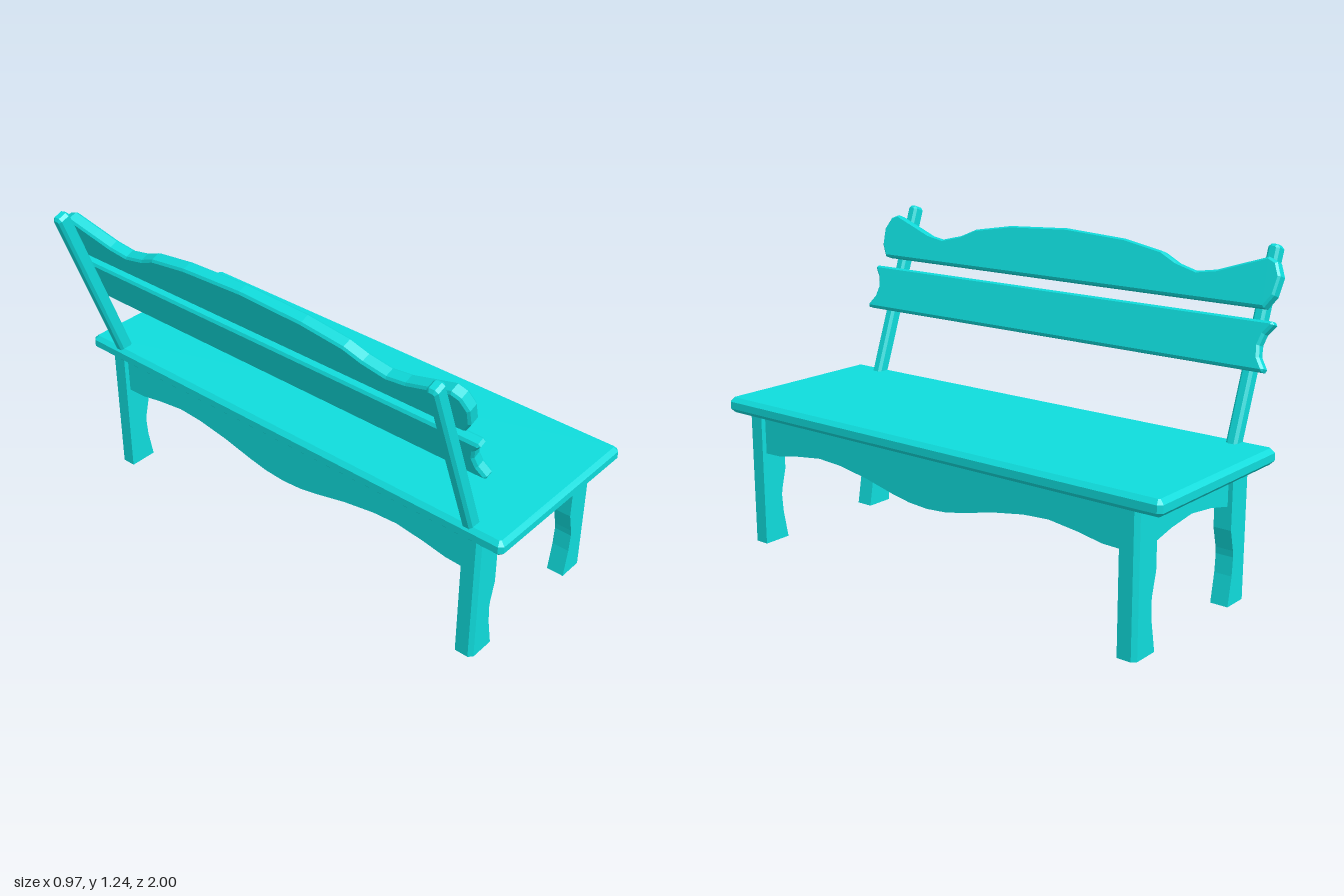
import * as THREE from 'three';

const material = new THREE.MeshStandardMaterial({ color: 0x0fdcdc, flatShading: true });
const openMaterial = new THREE.MeshStandardMaterial({ color: 0x0fdcdc, flatShading: true, side: THREE.DoubleSide });

const MID_X = 0.115; // centre of the leg frame, front to back
const LEG_OUT = 0.35; // half depth of the leg frame

function addMesh(parent, name, geometry, mat = material) {
  const mesh = new THREE.Mesh(geometry, mat);
  mesh.name = name;
  parent.add(mesh);
  return mesh;
}

// Board cut to an outline, bevelled inward, from z = 0 to z = depth
function board(points, depth, bevel = 0) {
  const shape = new THREE.Shape(points.map(([x, y]) => new THREE.Vector2(x, y)));
  const geometry = new THREE.ExtrudeGeometry(shape, {
    depth: depth - 2 * bevel,
    bevelEnabled: bevel > 0,
    bevelThickness: bevel,
    bevelSize: bevel,
    bevelOffset: -bevel,
    bevelSegments: 1,
  });
  return geometry.translate(0, 0, bevel);
}

// Rectangle with clipped corners
function clippedRect(x0, y0, x1, y1, c) {
  return [
    [x0 + c, y0], [x1 - c, y0], [x1, y0 + c], [x1, y1 - c],
    [x1 - c, y1], [x0 + c, y1], [x0, y1 - c], [x0, y0 + c],
  ];
}

// Completes a half outline (centre or edge first) by mirroring it across x = 0
function mirrored(half) {
  const other = half.filter(([x]) => x !== 0).map(([x, y]) => [-x, y]).reverse();
  return [...half, ...other];
}

// Leg: cross-sections stacked upward, with a curved inner side and open ends
function legGeometry(sx, sz) {
  const levels = [[0, 0.235], [0.11, 0.255], [0.18, 0.26], [0.205, 0.257], [0.285, 0.237], [0.52, 0.237]];
  const c = 0.015, z0 = 0.835, z1 = 0.905;
  const positions = [], index = [];
  for (const [y, inner] of levels) {
    const ring = [[inner, z0], [inner, z1], [LEG_OUT - c, z1], [LEG_OUT, z1 - c], [LEG_OUT, z0]];
    for (const [x, z] of ring) positions.push(MID_X + sx * x, y, sz * z);
  }
  for (let l = 0; l < levels.length - 1; l++) {
    for (let i = 0; i < 5; i++) {
      const a = l * 5 + i, b = l * 5 + ((i + 1) % 5), d = a + 5, e = b + 5;
      if (sx * sz > 0) index.push(a, b, e, a, e, d);
      else index.push(a, e, b, a, d, e);
    }
  }
  const geometry = new THREE.BufferGeometry();
  geometry.setAttribute('position', new THREE.Float32BufferAttribute(positions, 3));
  geometry.setIndex(index);
  geometry.computeVertexNormals();
  return geometry;
}

export function createModel() {
  const bench = new THREE.Group();
  bench.name = 'bench';

  // Seat
  const seat = addMesh(bench, 'seat', board(clippedRect(-0.25, -1, 0.485, 1, 0.015), 0.06, 0.016));
  seat.rotation.x = -Math.PI / 2;
  seat.position.y = 0.515;

  // Four legs
  for (const sx of [1, -1]) {
    for (const sz of [1, -1]) {
      addMesh(bench, (sx > 0 ? 'front' : 'rear') + 'Leg', legGeometry(sx, sz), openMaterial);
    }
  }

  // Arched aprons at the two ends
  const arch = mirrored([[0.25, 0.52], [-0.25, 0.52]].slice(0, 1).concat([[0.25, 0.37], [0.237, 0.37], [0.125, 0.395], [0, 0.41]]));
  for (const sz of [1, -1]) {
    const apron = addMesh(bench, 'endApron', board(arch, 0.045));
    apron.position.set(MID_X, 0, sz * 0.865 - 0.0225);
  }

  // Wavy aprons along the front and back
  const wave = mirrored([
    [0.85, 0.52], [0.85, 0.367], [0.756, 0.37], [0.66, 0.388], [0.54, 0.403], [0.434, 0.397],
    [0.3, 0.375], [0.166, 0.343], [0.086, 0.328], [0, 0.322],
  ]);
  for (const sx of [1, -1]) {
    const apron = addMesh(bench, sx > 0 ? 'frontApron' : 'rearApron', board(wave, 0.045));
    apron.rotation.y = Math.PI / 2;
    apron.position.x = MID_X + sx * 0.308 - 0.0225;
  }

  // Reclined back: local x runs along the bench, y up the posts, z forward
  const back = new THREE.Group();
  back.name = 'back';
  back.rotation.set(0, Math.PI / 2, THREE.MathUtils.degToRad(20), 'ZYX');
  back.position.set(-0.217, 0.575, 0);
  bench.add(back);

  // Posts
  for (const s of [1, -1]) {
    const post = addMesh(back, 'backPost', board(clippedRect(-0.0225, -0.025, 0.0225, 0.705, 0.011), 0.055, 0.01));
    post.position.set(s * 0.85, 0, -0.0275);
  }

  // Lower slat with notched ends
  const lower = mirrored([
    [0.93, 0.25], [0.935, 0.262], [0.908, 0.3], [0.9, 0.34], [0.91, 0.38], [0.938, 0.417], [0.93, 0.428],
  ]);
  addMesh(back, 'lowerSlat', board(lower, 0.044, 0.009)).position.z = 0.029;

  // Upper slat with a crested top edge
  const upper = mirrored([
    [0.89, 0.469], [0.92, 0.516], [0.928, 0.585], [0.905, 0.633], [0.87, 0.648], [0.76, 0.61],
    [0.68, 0.582], [0.6, 0.569], [0.51, 0.592], [0.44, 0.625], [0.27, 0.655], [0, 0.67],
  ]);
  addMesh(back, 'upperSlat', board(upper, 0.05, 0.008)).position.z = 0.031;

  return bench;
}
